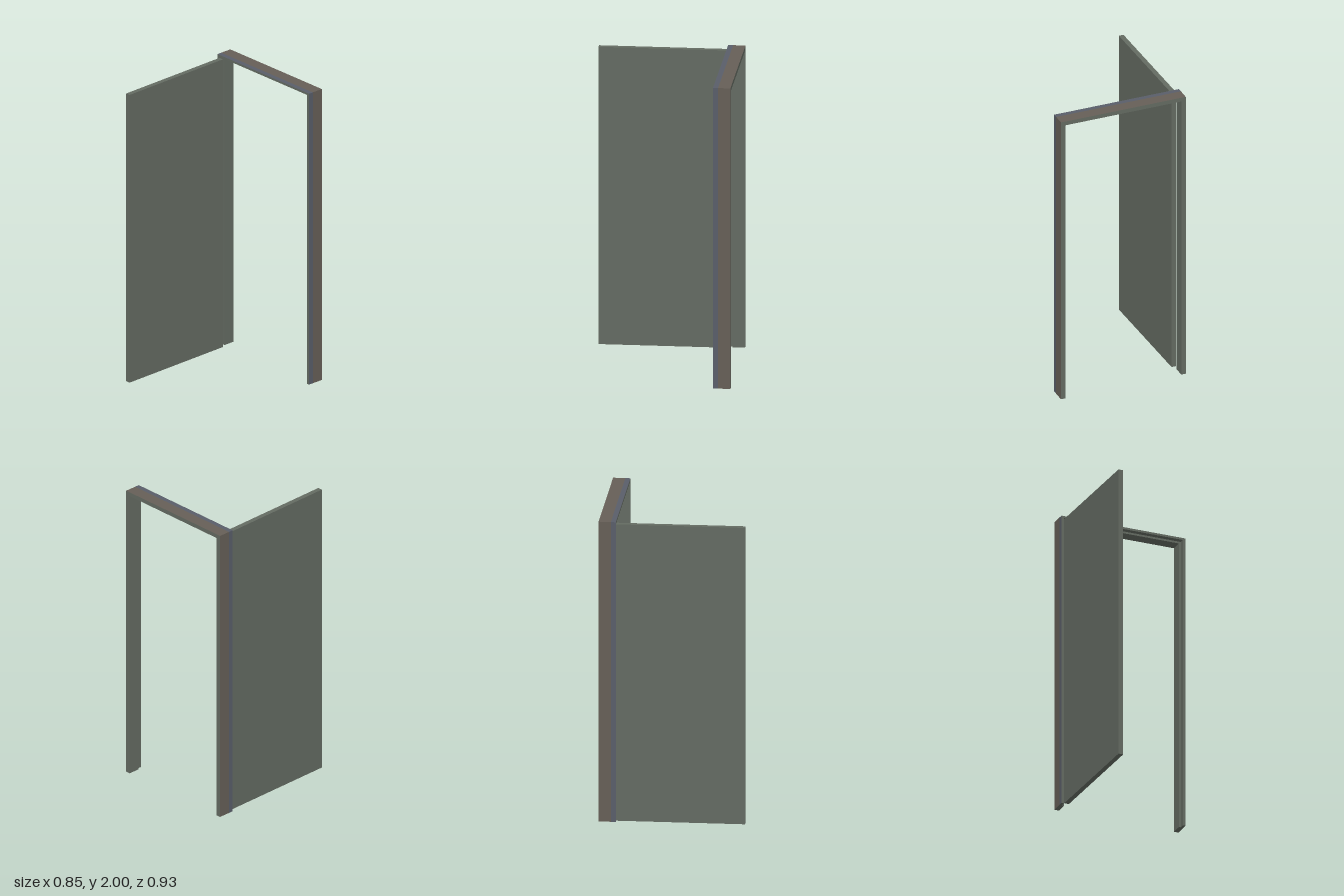
import * as THREE from 'three';

const paint = (color) => new THREE.MeshStandardMaterial({ color });

export function createModel() {
  const model = new THREE.Group();
  const green = paint(0x646b62), brown = paint(0x665f57), blue = paint(0x595e69);

  const halfWidth = 0.427, height = 2;
  const back = -0.463, rebate = -0.385, front = -0.353;

  // Box between two corners; one face (0 +x, 1 -x, 2 +y) may take another paint
  function block(name, min, max, outerFace, outerPaint) {
    const size = max.map((v, i) => v - min[i]);
    const materials = Array(6).fill(green);
    if (outerFace !== undefined) materials[outerFace] = outerPaint;
    const mesh = new THREE.Mesh(new THREE.BoxGeometry(...size), outerFace === undefined ? green : materials);
    mesh.position.set(...max.map((v, i) => (v + min[i]) / 2));
    mesh.name = name;
    return mesh;
  }

  // Door frame: a deep stop section behind, a thinner rebated lip in front
  const frame = new THREE.Group();
  frame.name = 'doorFrame';
  const sections = [
    { name: 'Stop', z0: back, z1: rebate, t: 0.031, outer: brown },
    { name: 'Lip', z0: rebate, z1: front, t: 0.018, outer: blue },
  ];
  for (const { name, z0, z1, t, outer } of sections) {
    const inner = halfWidth - t, under = height - t + 0.004;
    frame.add(block('leftJamb' + name, [inner, 0, z0], [halfWidth, height, z1], 0, outer));
    frame.add(block('rightJamb' + name, [-halfWidth, 0, z0], [-inner, height, z1], 1, outer));
    frame.add(block('lintel' + name, [-inner, under, z0], [inner, height, z1], 2, outer));
    // Painted caps continue the lintel colour over the jamb tops
    for (const jamb of frame.children.slice(-3, -1)) jamb.material[2] = outer;
  }
  model.add(frame);

  // Door leaf, swung open about its hinge edge
  const door = new THREE.Group();
  door.name = 'door';
  door.add(block('doorLeaf', [0, 0.002, 0], [0.032, 1.98, 0.816]));
  door.position.set(-0.408, 0, front);
  door.rotation.y = 0.022;
  model.add(door);

  return model;
}
